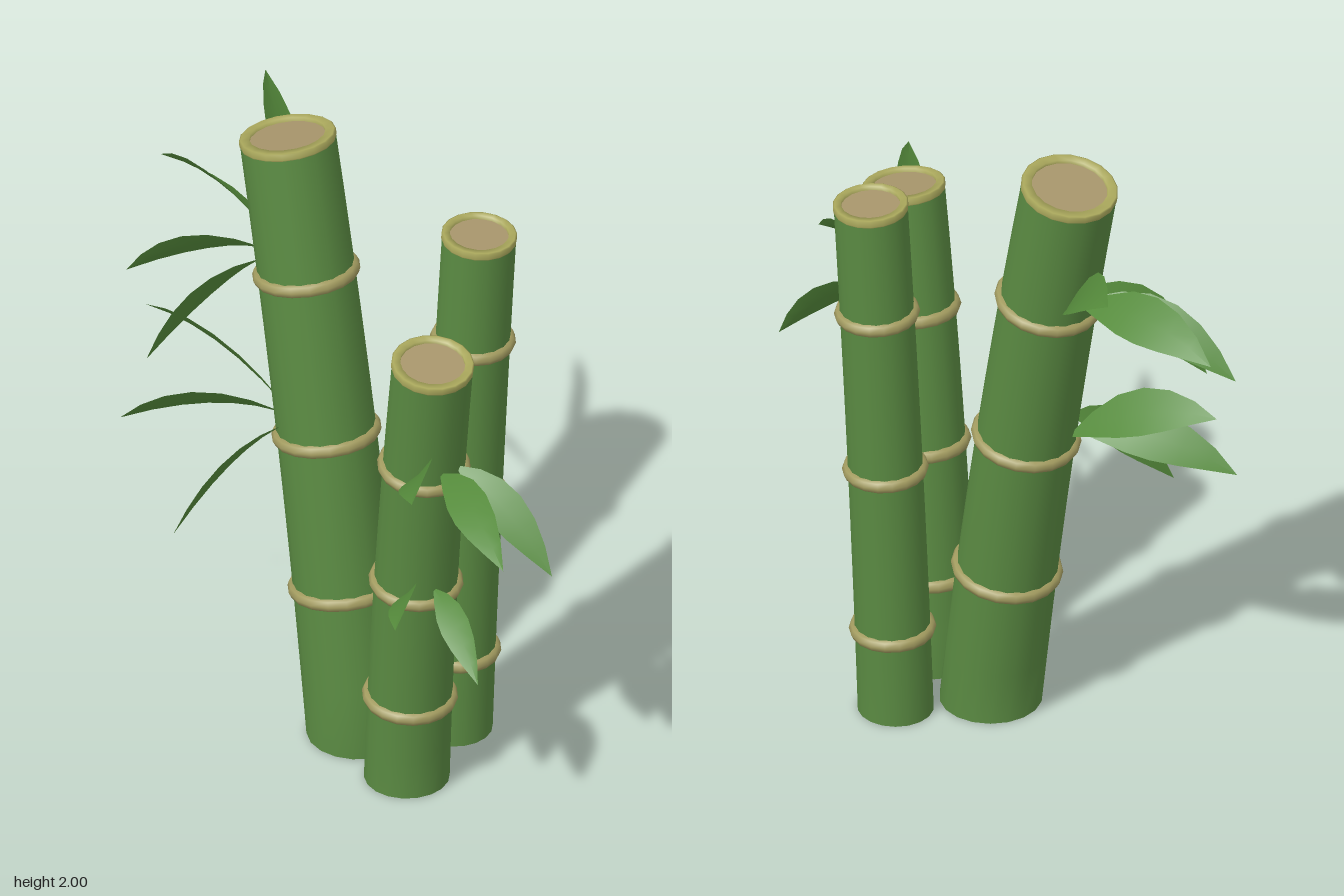
import * as THREE from 'three';

const mat = (color, side = THREE.FrontSide) => {
  const m = new THREE.MeshStandardMaterial({ side });
  m.color.set(color);
  return m;
};
const stalkMat = mat(0x5a8a42);
const ringMat = mat(0xa39c60);
const rimMat = mat(0xaaa85c);
const pithMat = mat(0xa8966c);
const leafMat = mat(0x568c3c, THREE.DoubleSide);
const SIDES = 18;

// Each stalk: centre line x, z as quadratics of height, radii, node heights, leaf tips by node
const stalks = [
  { name: 'tallStalk', x: [0, -0.135, -0.0195], z: [-0.06, -0.018, 0], top: 1.97, r: [0.155, 0.145],
    nodes: [0.495, 1.0, 1.525],
    leaves: [
      [2, -0.755, 1.86, -0.405], [2, -0.934, 1.593, -0.14], [2, -0.807, 1.36, 0.125], [2, -0.57, 1.22, 0.27],
      [1, -0.77, 1.233, 0.08], [1, -0.71, 0.93, 0.245], [1, -0.367, 0.725, 0.355],
    ] },
  { name: 'frontStalk', x: [0.272, 0.055, 0.031], z: [0, 0.016, 0.0105], top: 1.59, r: [0.129, 0.123],
    nodes: [0.305, 0.74, 1.185],
    leaves: [
      [2, 0.755, 1.413, 0.447], [2, 0.925, 1.153, 0.23], [2, 0.83, 0.952, -0.065],
      [1, 0.63, 0.875, 0.395], [1, 0.733, 0.614, 0.15],
    ] },
  { name: 'backStalk', x: [0.18, 0.02, 0.0085], z: [-0.288, -0.024, 0], top: 1.785, r: [0.115, 0.112],
    nodes: [0.285, 0.85, 1.4], leaves: [] },
];

const UP = new THREE.Vector3(0, 1, 0);
const quad = (c, y) => c[0] + c[1] * y + c[2] * y * y;
const slope = (c, y) => c[1] + 2 * c[2] * y;
const centre = (s, y) => new THREE.Vector3(quad(s.x, y), y, quad(s.z, y));
const tilt = (s, y) => new THREE.Quaternion().setFromUnitVectors(
  UP, new THREE.Vector3(slope(s.x, y), 1, slope(s.z, y)).normalize());
const radius = (s, y) => THREE.MathUtils.lerp(s.r[0], s.r[1], y / s.top);

function add(parent, name, geometry, material) {
  const mesh = new THREE.Mesh(geometry, material);
  mesh.name = name;
  parent.add(mesh);
  return mesh;
}

// Cylinder bent along the centre line, with a level foot on the ground
function bentCylinder(s) {
  const height = s.top - 0.02;
  const g = new THREE.CylinderGeometry(s.r[1], s.r[0], height, SIDES, 10);
  g.translate(0, height / 2, 0);
  const p = g.attributes.position, n = g.attributes.normal;
  const v = new THREE.Vector3(), m = new THREE.Vector3();
  for (let i = 0; i < p.count; i++) {
    const y = Math.max(0, p.getY(i));
    const q = y < 0.001 ? new THREE.Quaternion() : tilt(s, y);
    v.set(p.getX(i), 0, p.getZ(i)).applyQuaternion(q).add(centre(s, y));
    m.fromBufferAttribute(n, i).applyQuaternion(q);
    p.setXYZ(i, v.x, v.y, v.z);
    n.setXYZ(i, m.x, m.y, m.z);
  }
  return g;
}

// Arched, rolled blade with a shallow fold along the midrib
function leafGeometry(base, tip) {
  const length = base.distanceTo(tip);
  const mid = base.clone().lerp(tip, 0.5);
  mid.y += length * 0.2;
  const curve = new THREE.QuadraticBezierCurve3(base, mid, tip);
  const widths = [0.06, 0.55, 0.9, 1, 0.85, 0.5, 0];
  const positions = [], index = [];
  widths.forEach((w, i) => {
    const t = i / (widths.length - 1);
    const c = curve.getPoint(t), dir = curve.getTangent(t);
    const across = dir.clone().cross(UP).normalize().applyAxisAngle(dir, Math.PI / 4);
    const normal = across.clone().cross(dir);
    for (const k of [-1, 0, 1]) {
      const half = w * length * 0.145;
      const p = c.clone().addScaledVector(across, k * half);
      p.addScaledVector(normal, Math.abs(k) * half * 0.12);
      positions.push(p.x, p.y, p.z);
    }
    if (i === 0) return;
    for (let k = 0; k < 2; k++) {
      const a = (i - 1) * 3 + k, b = a + 3;
      index.push(a, a + 1, b, a + 1, b + 1, b);
    }
  });
  const g = new THREE.BufferGeometry();
  g.setAttribute('position', new THREE.Float32BufferAttribute(positions, 3));
  g.setIndex(index);
  g.computeVertexNormals();
  return g;
}

function makeStalk(s) {
  const group = new THREE.Group();
  group.name = s.name;
  add(group, 'stalk', bentCylinder(s), stalkMat);

  // Node rings
  for (const y of s.nodes) {
    const ring = new THREE.TorusGeometry(radius(s, y) - 0.005, 0.022, 8, SIDES).rotateX(Math.PI / 2);
    const mesh = add(group, 'nodeRing', ring, ringMat);
    mesh.position.copy(centre(s, y));
    mesh.quaternion.copy(tilt(s, y));
  }

  // Cut end: raised rim around a sunken pith
  const r = s.r[1];
  const cut = new THREE.Group();
  cut.name = 'cutEnd';
  const profile = [[r, -0.024], [r + 0.002, -0.02], [r + 0.002, -0.003], [r - 0.003, 0], [r * 0.8, 0], [r * 0.8, -0.018]];
  add(cut, 'rim', new THREE.LatheGeometry(profile.map(([a, b]) => new THREE.Vector2(a, b)), SIDES),
    rimMat);
  const pith = new THREE.CircleGeometry(r * 0.82, SIDES).rotateX(-Math.PI / 2).translate(0, -0.012, 0);
  add(cut, 'pith', pith, pithMat);
  cut.position.copy(centre(s, s.top));
  cut.quaternion.copy(tilt(s, s.top));
  group.add(cut);

  // Leaves sprouting just above the nodes
  for (const [node, x, y, z] of s.leaves) {
    const tip = new THREE.Vector3(x, y, z);
    const base = centre(s, s.nodes[node] + 0.04);
    const out = tip.clone().sub(base).setY(0).normalize();
    base.addScaledVector(out, radius(s, base.y) * 0.95);
    add(group, 'leaf', leafGeometry(base, tip), leafMat);
  }
  return group;
}

export function createModel() {
  const model = new THREE.Group();
  model.name = 'bambooCluster';
  // Lathe profile runs upward then inward, so the rim is drawn from both sides
  rimMat.side = THREE.DoubleSide;
  for (const s of stalks) model.add(makeStalk(s));
  return model;
}
